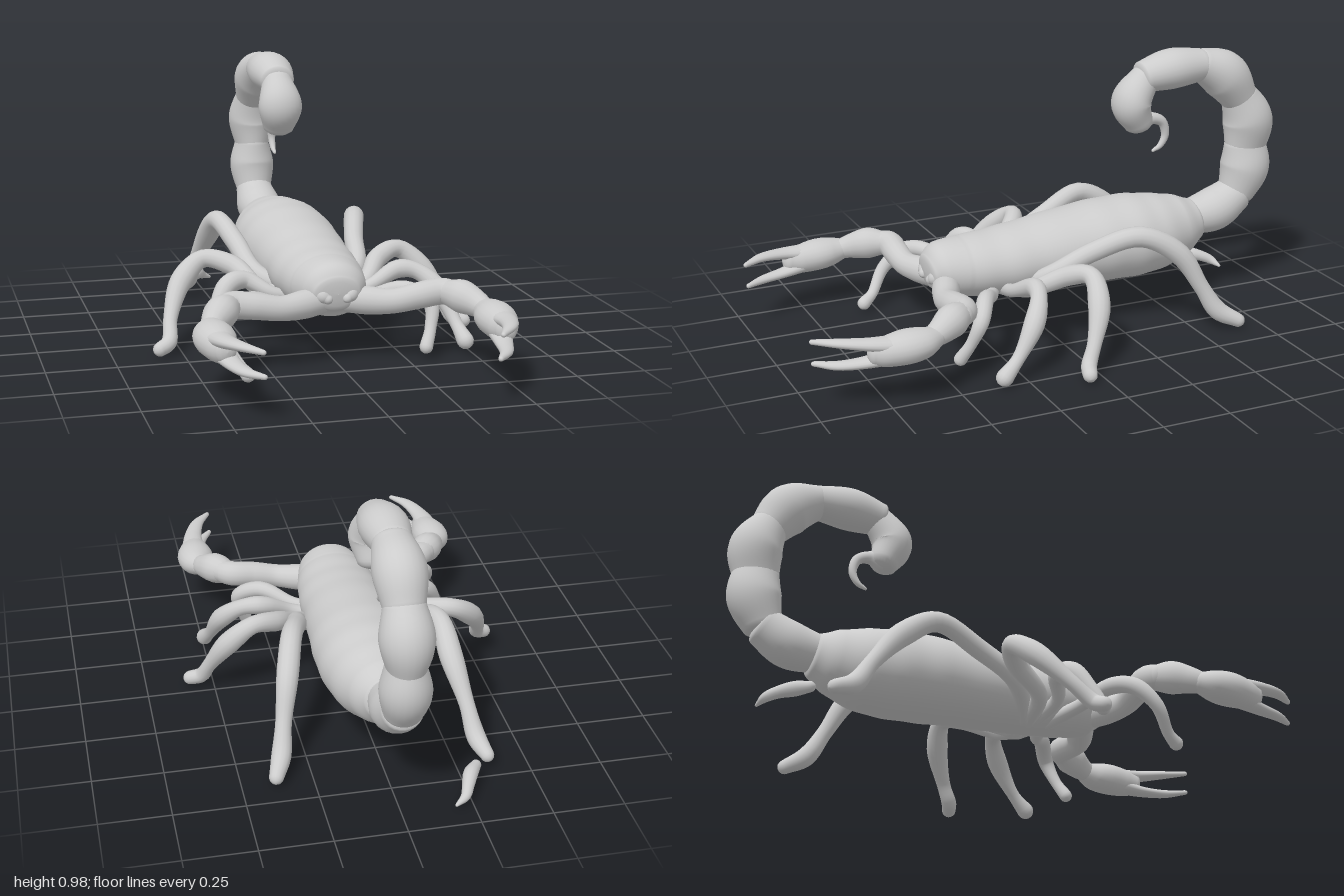
import * as THREE from 'three';

const shell = new THREE.MeshStandardMaterial({ color: 0xcccccc });
shell.name = 'light grey shell';

// Smooth round-ended loft through sections [x, y, z, radiusA, radiusB]
function loft(name, sections, { steps = 6, sides = 16, cap = 1, ridge = () => 1 } = {}) {
  const path = new THREE.CatmullRomCurve3(sections.map(s => new THREE.Vector3(s[0], s[1], s[2])));
  const radii = new THREE.CatmullRomCurve3(
    sections.map(s => new THREE.Vector3(s[3], s[4] ?? s[3], 0)), false, 'catmullrom', 0.5);
  const n = (sections.length - 1) * steps;
  const rings = [];
  const side = new THREE.Vector3(1, 0, 0);
  if (Math.abs(path.getTangent(0).x) > 0.9) side.set(0, 0, 1);
  for (let i = 0; i <= n; i++) {
    const t = i / n;
    const tangent = path.getTangent(t);
    side.addScaledVector(tangent, -side.dot(tangent)).normalize();
    const ring = {
      c: path.getPoint(t), T: tangent, A: side.clone(),
      B: new THREE.Vector3().crossVectors(tangent, side),
      r: radii.getPoint(t).multiplyScalar(ridge(t)),
    };
    // domed ends
    const dome = (k, sign) => {
      const a = k * Math.PI / 8;
      const reach = Math.min(ring.r.x, ring.r.y) * cap * Math.sin(a) * sign;
      return { ...ring, c: ring.c.clone().addScaledVector(tangent, reach),
        r: ring.r.clone().multiplyScalar(Math.max(Math.cos(a), 0.001)) };
    };
    if (i === 0) for (let k = 4; k > 0; k--) rings.push(dome(k, -1));
    rings.push(ring);
    if (i === n) for (let k = 1; k <= 4; k++) rings.push(dome(k, 1));
  }
  const pos = [], index = [];
  rings.forEach(({ c, A, B, r }, i) => {
    for (let j = 0; j < sides; j++) {
      const a = j / sides * Math.PI * 2;
      const p = c.clone().addScaledVector(A, Math.cos(a) * r.x).addScaledVector(B, Math.sin(a) * r.y);
      pos.push(p.x, p.y, p.z);
      if (i === 0) continue;
      const k = (j + 1) % sides, lo = (i - 1) * sides, hi = i * sides;
      index.push(lo + j, lo + k, hi + j, lo + k, hi + k, hi + j);
    }
  });
  const g = new THREE.BufferGeometry();
  g.setAttribute('position', new THREE.Float32BufferAttribute(pos, 3));
  g.setIndex(index);
  g.computeVertexNormals();
  const mesh = new THREE.Mesh(g, shell);
  mesh.name = name;
  return mesh;
}

const CX = -0.008; // slight sideways offset of the body axis

function createBody() {
  // z, half width, bottom, top
  const profile = [
    [0.42, 0.085, 0.20, 0.325], [0.38, 0.115, 0.17, 0.365], [0.28, 0.14, 0.155, 0.375],
    [0.15, 0.158, 0.145, 0.385], [0, 0.166, 0.14, 0.405], [-0.2, 0.182, 0.135, 0.43],
    [-0.35, 0.186, 0.13, 0.44], [-0.48, 0.168, 0.138, 0.432], [-0.6, 0.125, 0.18, 0.415],
    [-0.67, 0.085, 0.23, 0.39],
  ];
  return loft('body', profile.map(([z, w, b, t]) => [CX, (b + t) / 2, z, w, (t - b) / 2]), {
    steps: 14, sides: 36, cap: 0.2,
    // faint back plates
    ridge: t => (t < 0.2 ? 1 : 0.997 + 0.008 * Math.sin(t * 9 * Math.PI * 2)),
  });
}

function createTail() {
  const tail = new THREE.Group();
  tail.name = 'tail';
  // each segment: sections of z, y, half width, half depth
  const segments = [
    [[-0.64, 0.315, 0.07, 0.065], [-0.76, 0.335, 0.088, 0.083], [-0.86, 0.39, 0.072, 0.07]],
    [[-0.855, 0.385, 0.068, 0.07], [-0.893, 0.49, 0.088, 0.097], [-0.892, 0.59, 0.066, 0.083]],
    [[-0.893, 0.57, 0.066, 0.083], [-0.898, 0.68, 0.092, 0.097], [-0.853, 0.785, 0.07, 0.068]],
    [[-0.86, 0.77, 0.07, 0.07], [-0.785, 0.865, 0.09, 0.092], [-0.675, 0.92, 0.068, 0.06]],
    [[-0.69, 0.915, 0.068, 0.06], [-0.56, 0.912, 0.085, 0.075], [-0.44, 0.893, 0.066, 0.058]],
    [[-0.45, 0.89, 0.058, 0.055], [-0.395, 0.80, 0.084, 0.073], [-0.425, 0.72, 0.062, 0.055]],
  ];
  segments.forEach((seg, i) => tail.add(loft(i < 5 ? 'tailSegment' + (i + 1) : 'venomBulb',
    seg.map(([z, y, w, d]) => [CX, y, z, w, d]), { steps: 10, sides: 24, cap: i < 5 ? 0.3 : 0.6 })));
  tail.add(loft('stinger', [[CX, 0.72, -0.43, 0.036], [CX, 0.73, -0.48, 0.024], [CX, 0.712, -0.525, 0.019],
    [CX, 0.66, -0.54, 0.015], [CX, 0.62, -0.52, 0.011], [CX, 0.603, -0.49, 0.006]], { sides: 12 }));
  return tail;
}

function createClawArm(s, side) {
  const arm = new THREE.Group();
  arm.name = side + 'ClawArm';
  const add = (name, pts, opt) =>
    arm.add(loft(name, pts.map(([x, ...rest]) => [CX + s * x, ...rest]), opt));
  add('upperArm', [[0.05, 0.23, 0.37, 0.05], [0.12, 0.225, 0.40, 0.05], [0.20, 0.225, 0.43, 0.044],
    [0.29, 0.24, 0.435, 0.047], [0.37, 0.25, 0.435, 0.048], [0.405, 0.25, 0.46, 0.044]]);
  add('forearm', [[0.385, 0.25, 0.445, 0.042], [0.425, 0.245, 0.50, 0.058], [0.46, 0.23, 0.555, 0.047],
    [0.475, 0.22, 0.59, 0.038]]);
  add('palm', [[0.475, 0.22, 0.575, 0.038, 0.035], [0.485, 0.212, 0.63, 0.064, 0.052],
    [0.485, 0.207, 0.69, 0.07, 0.058], [0.48, 0.2, 0.76, 0.054, 0.052], [0.475, 0.2, 0.80, 0.036, 0.042]],
    { cap: 0.6, sides: 20 });
  add('upperFinger', [[0.485, 0.225, 0.74, 0.045, 0.028], [0.475, 0.234, 0.82, 0.034, 0.021],
    [0.445, 0.242, 0.91, 0.024, 0.015], [0.395, 0.241, 0.985, 0.009, 0.009]]);
  add('lowerFinger', [[0.475, 0.18, 0.74, 0.042, 0.028], [0.46, 0.165, 0.82, 0.032, 0.019],
    [0.435, 0.159, 0.91, 0.022, 0.015], [0.39, 0.16, 0.98, 0.009, 0.009]]);
  // small mouthpart beside the middle line
  add('mouthpart', [[0.05, 0.265, 0.37, 0.036], [0.05, 0.255, 0.41, 0.03], [0.035, 0.245, 0.425, 0.018]]);
  return arm;
}

export function createModel() {
  const model = new THREE.Group();
  model.name = 'scorpion';
  model.add(createBody(), createTail(), createClawArm(1, 'left'), createClawArm(-1, 'right'));

  // walking legs, posed differently on each side
  const legs = {
    leftLeg1: [[0.05, 0.18, 0.2, 0.03], [0.16, 0.20, 0.245, 0.024], [0.27, 0.235, 0.315, 0.03],
      [0.35, 0.19, 0.365, 0.028], [0.34, 0.11, 0.40, 0.021], [0.315, 0.05, 0.43, 0.024]],
    rightLeg1: [[-0.05, 0.18, 0.2, 0.03], [-0.18, 0.20, 0.265, 0.024], [-0.30, 0.235, 0.325, 0.03],
      [-0.39, 0.21, 0.38, 0.03], [-0.415, 0.14, 0.45, 0.024], [-0.375, 0.06, 0.51, 0.02],
      [-0.355, 0.035, 0.55, 0.025]],
    leftLeg2: [[0.05, 0.18, 0.15, 0.03], [0.18, 0.215, 0.17, 0.024], [0.30, 0.265, 0.14, 0.034],
      [0.37, 0.255, 0.155, 0.03], [0.44, 0.19, 0.205, 0.037], [0.475, 0.09, 0.28, 0.023],
      [0.493, 0.035, 0.34, 0.031]],
    rightLeg2: [[-0.05, 0.18, 0.15, 0.03], [-0.18, 0.215, 0.18, 0.024], [-0.27, 0.26, 0.14, 0.032],
      [-0.34, 0.25, 0.165, 0.036], [-0.39, 0.17, 0.21, 0.028], [-0.412, 0.1, 0.245, 0.026]],
    leftLeg3: [[0.05, 0.18, 0.12, 0.035], [0.18, 0.21, 0.1, 0.03], [0.27, 0.275, -0.01, 0.037],
      [0.36, 0.295, -0.055, 0.033], [0.45, 0.22, -0.04, 0.04], [0.515, 0.11, 0.01, 0.026],
      [0.545, 0.045, 0.045, 0.028], [0.585, 0.03, 0.06, 0.026]],
    rightLeg3: [[-0.05, 0.18, 0.12, 0.035], [-0.20, 0.21, 0.10, 0.03], [-0.28, 0.275, -0.02, 0.037],
      [-0.38, 0.295, -0.075, 0.034], [-0.47, 0.23, -0.03, 0.04], [-0.53, 0.12, 0.07, 0.026],
      [-0.55, 0.05, 0.145, 0.028], [-0.585, 0.033, 0.165, 0.026]],
    leftLeg4: [[0.06, 0.18, 0.1, 0.035], [0.175, 0.25, 0.02, 0.034], [0.21, 0.325, -0.13, 0.036],
      [0.26, 0.375, -0.30, 0.038], [0.30, 0.30, -0.44, 0.039], [0.33, 0.17, -0.52, 0.029],
      [0.35, 0.075, -0.58, 0.035], [0.38, 0.035, -0.65, 0.026]],
    rightLeg4: [[-0.06, 0.18, 0.1, 0.035], [-0.2, 0.25, 0.01, 0.034], [-0.24, 0.33, -0.15, 0.036],
      [-0.275, 0.385, -0.31, 0.036], [-0.285, 0.31, -0.44, 0.042], [-0.315, 0.18, -0.55, 0.028],
      [-0.335, 0.08, -0.62, 0.034], [-0.355, 0.05, -0.69, 0.025]],
    // loose foot lying behind the body
    looseFoot: [[-0.295, 0.062, -0.757, 0.019], [-0.265, 0.06, -0.80, 0.026], [-0.243, 0.048, -0.85, 0.021],
      [-0.225, 0.032, -0.885, 0.017], [-0.19, 0.015, -0.905, 0.006]],
  };
  for (const [name, pts] of Object.entries(legs)) model.add(loft(name, pts, { sides: 14 }));
  return model;
}
